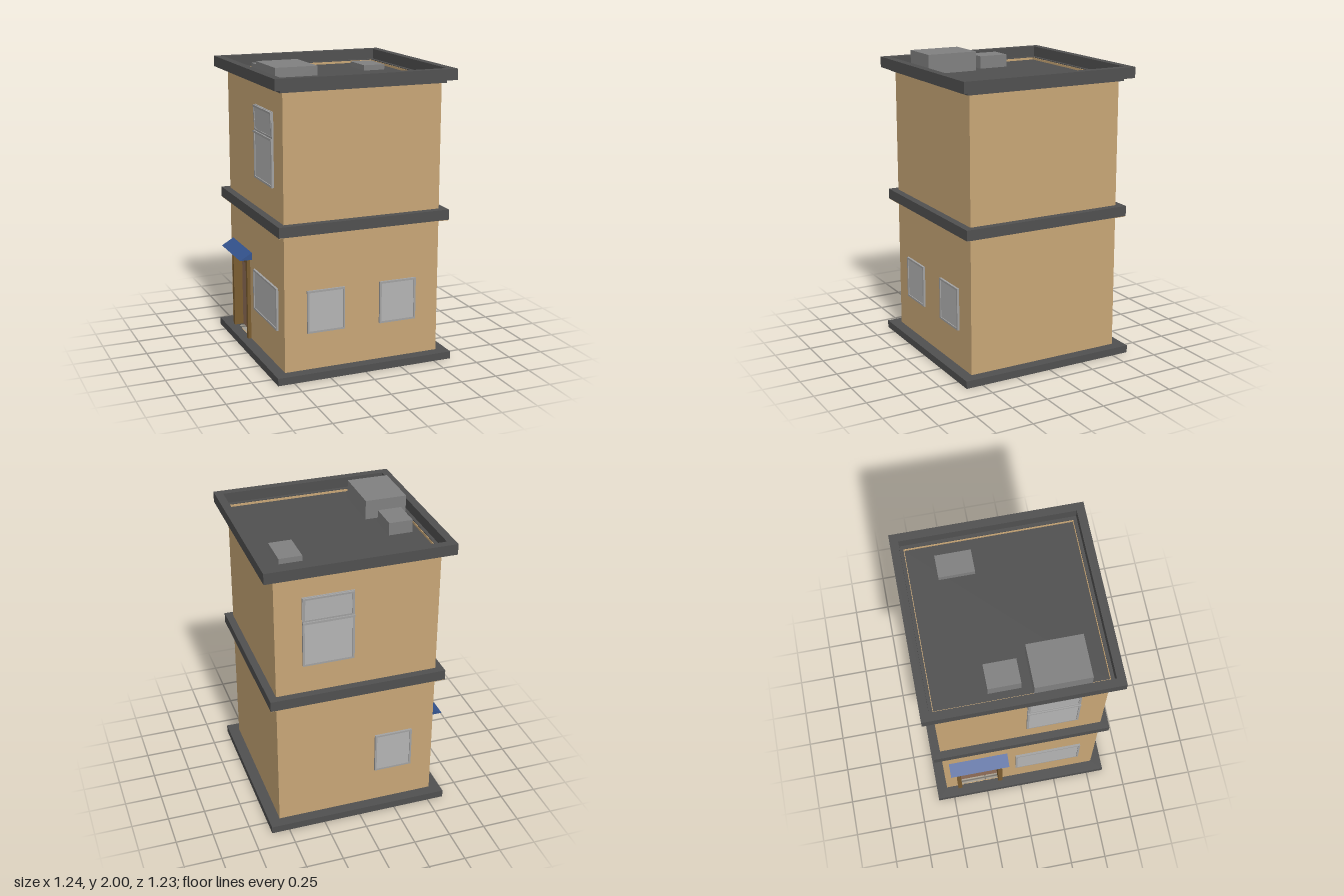
import * as THREE from 'three';

const CX = 0.005; // centre of the building in x
const HALF = 0.542; // half width of the walls

const mat = (color) => new THREE.MeshStandardMaterial({ color, side: THREE.DoubleSide });
const WALL = mat(0xc8a676), TRIM = mat(0x505050), VENT = mat(0x808080);
const FRAME = mat(0xa2a2a2), GLASS = mat(0xb4b4b4);
const WOOD = mat(0x7a5c30), DOOR = mat(0x8f6d58), AWNING = mat(0x34548f), KNOB = mat(0x222222);

function add(parent, name, geometry, material) {
  const mesh = new THREE.Mesh(geometry, material);
  mesh.name = name;
  parent.add(mesh);
  return mesh;
}

// Box given by its limits on each axis
function box(parent, name, [x0, x1], [y0, y1], [z0, z1], material) {
  const mesh = add(parent, name, new THREE.BoxGeometry(x1 - x0, y1 - y0, z1 - z0), material);
  mesh.position.set((x0 + x1) / 2, (y0 + y1) / 2, (z0 + z1) / 2);
  return mesh;
}

function rect(Type, x0, x1, y0, y1) {
  return new Type([[x0, y0], [x1, y0], [x1, y1], [x0, y1]].map(([x, y]) => new THREE.Vector2(x, y)));
}

// Flat rectangular frame, extruded along z
function frameGeometry(x0, x1, y0, y1, border, depth) {
  const shape = rect(THREE.Shape, x0, x1, y0, y1);
  shape.holes.push(rect(THREE.Path, x0 + border, x1 - border, y0 + border, y1 - border));
  return new THREE.ExtrudeGeometry(shape, { depth, bevelEnabled: false });
}

// Horizontal square ring around the building
function ring(parent, name, outer, inner, y0, y1, material) {
  const geometry = frameGeometry(-outer, outer, -outer, outer, outer - inner, y1 - y0);
  geometry.rotateX(-Math.PI / 2);
  add(parent, name, geometry, material).position.set(CX, y0, 0);
}

// Framed pane, facing +z, with its back on z = 0
function pane(width, y0, y1, depth) {
  const group = new THREE.Group();
  const w = width / 2;
  add(group, 'windowFrame', frameGeometry(-w, w, y0, y1, 0.013, depth), FRAME);
  box(group, 'windowGlass', [-w + 0.01, w - 0.01], [y0 + 0.01, y1 - 0.01], [0, depth * 0.6], GLASS);
  return group;
}

function lowWindow(width) {
  const group = pane(width, 0.3, 0.585, 0.015);
  group.name = 'groundFloorWindow';
  return group;
}

// Tall window with a tilted sash above a transom
function tallWindow() {
  const group = new THREE.Group();
  group.name = 'upperWindow';
  group.add(pane(0.34, 1.235, 1.545, 0.016));
  box(group, 'transom', [-0.17, 0.17], [1.537, 1.55], [0, 0.021], FRAME);
  add(group, 'sashSurround', frameGeometry(-0.17, 0.17, 1.545, 1.72, 0.01, 0.01), FRAME);
  const sash = pane(0.33, 0, 0.168, 0.01);
  sash.name = 'tiltedSash';
  sash.position.set(0, 1.55, 0.002);
  sash.rotation.x = 0.05;
  group.add(sash);
  return group;
}

export function createModel() {
  const model = new THREE.Group();
  model.name = 'building';
  const left = CX - HALF, right = CX + HALF, t = 0.006;
  const wallY = [0.03, 1.885];

  // Thin walls, with a doorway in the -x side
  box(model, 'frontWall', [left, right], wallY, [HALF - t, HALF], WALL);
  box(model, 'backWall', [left, right], wallY, [-HALF, -HALF + t], WALL);
  box(model, 'leftWall', [right - t, right], wallY, [-HALF, HALF], WALL);
  const side = rect(THREE.Shape, -HALF, HALF, ...wallY);
  side.holes.push(rect(THREE.Path, -0.45, -0.14, 0.05, 0.61));
  const sideWall = add(model, 'doorWall',
    new THREE.ExtrudeGeometry(side, { depth: t, bevelEnabled: false }), WALL);
  sideWall.rotation.y = -Math.PI / 2;
  sideWall.position.x = left + t;

  // Base, floor band and stepped parapet
  ring(model, 'base', 0.616, 0.538, 0, 0.05, TRIM);
  ring(model, 'floorBand', 0.592, 0.54, 0.966, 1.035, TRIM);
  ring(model, 'bandUnderside', 0.59, 0.54, 0.962, 0.966, WALL);
  ring(model, 'parapetStep', 0.566, 0.54, 1.866, 1.89, TRIM);
  ring(model, 'parapetCap', 0.617, 0.563, 1.888, 1.96, TRIM);

  // Roof deck and equipment
  box(model, 'roofDeck', [left + t, right - t], [1.86, 1.87], [-HALF + t, HALF - t], TRIM);
  box(model, 'largeRoofUnit', [-0.54, -0.26], [1.87, 2], [0.07, 0.425], VENT);
  box(model, 'smallRoofUnit', [-0.48, -0.32], [1.87, 1.955], [-0.2, 0.005], VENT);
  box(model, 'roofHatch', [0.305, 0.457], [1.87, 1.906], [-0.36, -0.13], VENT);

  // Windows: [window, position along the wall, side]
  const windows = [
    [lowWindow(0.26), -0.255, 'front'],
    [lowWindow(0.26), 0.252, 'front'],
    [lowWindow(0.26), -0.255, 'back'],
    [tallWindow(), 0.2, 'back'],
    [lowWindow(0.46), 0.2, 'door'],
    [tallWindow(), 0.205, 'door'],
  ];
  for (const [win, along, wall] of windows) {
    if (wall === 'door') {
      win.position.set(left, 0, along);
      win.rotation.y = -Math.PI / 2;
    } else {
      win.position.set(along, 0, wall === 'front' ? HALF : -HALF);
      win.rotation.y = wall === 'front' ? 0 : Math.PI;
    }
    model.add(win);
  }

  // Recessed door with its wooden frame
  const door = new THREE.Group();
  door.name = 'door';
  model.add(door);
  box(door, 'backJamb', [-0.56, -0.488], [0.05, 0.62], [-0.46, -0.43], WOOD);
  box(door, 'frontJamb', [-0.56, -0.488], [0.05, 0.62], [-0.16, -0.13], WOOD);
  box(door, 'doorHeader', [-0.56, -0.488], [0.59, 0.62], [-0.43, -0.16], WOOD);
  box(door, 'doorPanel', [-0.497, -0.488], [0.05, 0.59], [-0.43, -0.16], DOOR);
  add(door, 'doorKnob', new THREE.SphereGeometry(0.011, 12, 8), KNOB).position.set(-0.506, 0.32, -0.2);

  // Sloping awning over the door
  const wedge = new THREE.Shape([[-0.622, 0.63], [left, 0.63], [left, 0.68]]
    .map(([x, y]) => new THREE.Vector2(x, y)));
  add(model, 'awning', new THREE.ExtrudeGeometry(wedge, { depth: 0.41, bevelEnabled: false }), AWNING)
    .position.z = -0.5;

  return model;
}
